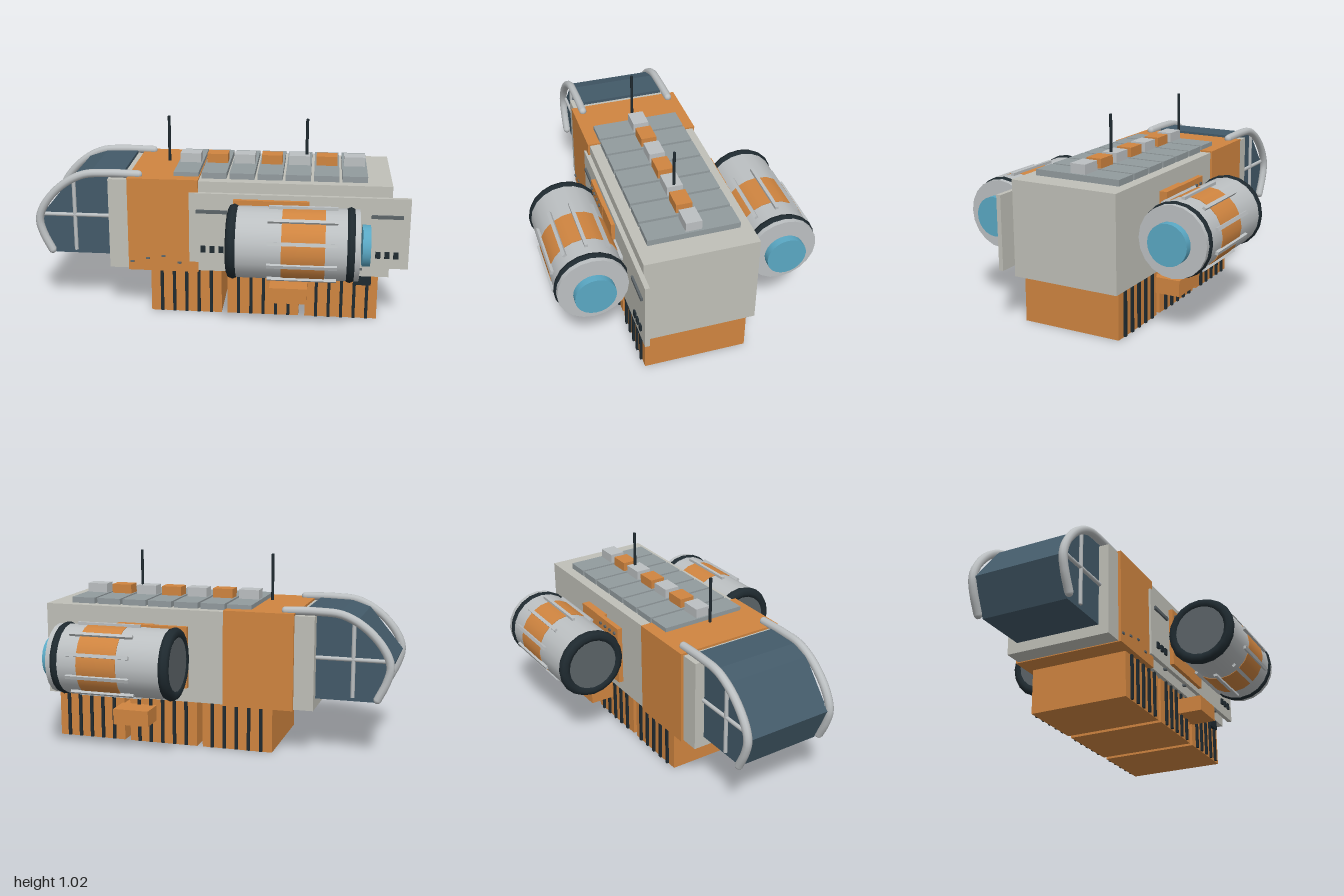
import * as THREE from 'three';

const mat = (color, extra = {}) => new THREE.MeshStandardMaterial({ color, ...extra });
const M = {
  hull: mat(0xc0c0b8), orange: mat(0xd08540), dark: mat(0x1f2a30), blue: mat(0x5aa8c4),
  glass: mat(0x435a69, { flatShading: true }), panel: mat(0x929b9e), metal: mat(0xbcc0c2), slot: mat(0x5c6468),
};

function add(parent, name, geometry, material, x = 0, y = 0, z = 0) {
  const mesh = new THREE.Mesh(geometry, material);
  mesh.name = name;
  mesh.position.set(x, y, z);
  parent.add(mesh);
  return mesh;
}

// Box given by its extents along each axis
function box(parent, name, material, [x0, x1], [y0, y1], [z0, z1]) {
  return add(parent, name, new THREE.BoxGeometry(x1 - x0, y1 - y0, z1 - z0), material,
    (x0 + x1) / 2, (y0 + y1) / 2, (z0 + z1) / 2);
}

// Cylinder lying along x
function barrel(parent, name, material, r, x0, x1, sides = 20) {
  const geometry = new THREE.CylinderGeometry(r, r, x1 - x0, sides).rotateZ(-Math.PI / 2);
  return add(parent, name, geometry, material, (x0 + x1) / 2);
}

function enginePod() {
  const pod = new THREE.Group();
  pod.name = 'enginePod';
  barrel(pod, 'podBody', M.metal, 0.182, 0.085, 0.73);
  barrel(pod, 'podBand', M.orange, 0.185, 0.345, 0.56);
  barrel(pod, 'intakeDisc', M.slot, 0.14, 0.075, 0.1);
  barrel(pod, 'exhaust', M.blue, 0.105, 0.745, 0.785, 24);
  for (const [x, tube] of [[0.097, 0.03], [0.686, 0.026]]) {
    const ring = new THREE.TorusGeometry(0.191 - tube, tube, 8, 20).rotateY(Math.PI / 2);
    add(pod, 'podRing', ring, M.dark, x);
  }
  // Ten rails spaced around the barrel
  for (let i = 0; i < 10; i++) {
    const a = (i + 0.5) * Math.PI / 5;
    const rail = add(pod, 'podRail', new THREE.BoxGeometry(0.345, 0.018, 0.018), M.metal,
      0.447, 0.187 * Math.sin(a), 0.187 * Math.cos(a));
    rail.rotation.x = -a;
  }
  return pod;
}

function cockpit() {
  const g = new THREE.Group();
  g.name = 'cockpit';
  const profile = [[-0.52, 0.305], [-0.9, 0.305], [-0.985, 0.5], [-0.8, 0.725], [-0.7, 0.757], [-0.52, 0.762]];
  const shape = new THREE.Shape(profile.map(([x, y]) => new THREE.Vector2(x, y)));
  const canopy = new THREE.ExtrudeGeometry(shape, { depth: 0.47, bevelEnabled: false });
  add(g, 'canopy', canopy, M.glass, 0, 0, -0.235);
  const path = [[-0.43, 0.765], [-0.6, 0.767], [-0.73, 0.755], [-0.85, 0.69], [-0.945, 0.585],
    [-0.977, 0.5], [-0.96, 0.42], [-0.915, 0.325]];
  for (const s of [1, -1]) {
    const curve = new THREE.CatmullRomCurve3(path.map(([x, y]) => new THREE.Vector3(x, y, 0.253 * s)));
    add(g, 'canopyRail', new THREE.TubeGeometry(curve, 32, 0.022, 10), M.metal);
    for (const [x, y] of [path[0], path[path.length - 1]]) {
      add(g, 'railEnd', new THREE.SphereGeometry(0.021, 10, 8), M.metal, x, y, 0.253 * s);
    }
    // Window cross bars
    const across = barrel(g, 'windowBar', M.metal, 0.011, -0.965, -0.59, 8);
    across.position.y = 0.525;
    across.position.z = 0.24 * s;
    add(g, 'windowPost', new THREE.CylinderGeometry(0.011, 0.011, 0.4, 8), M.metal, -0.785, 0.525, 0.24 * s);
  }
  return g;
}

export function createModel() {
  const model = new THREE.Group();
  model.name = 'dropShuttle';

  // Main body
  box(model, 'hull', M.hull, [-0.2, 0.9], [0.25, 0.748], [-0.294, 0.294]);
  box(model, 'orangeSection', M.orange, [-0.485, -0.108], [0.245, 0.757], [-0.305, 0.305]);
  box(model, 'collar', M.hull, [-0.59, -0.45], [0.25, 0.745], [-0.29, 0.29]);
  model.add(cockpit());

  // Roof panels with small housings
  for (let i = 0; i < 7; i++) {
    const x = -0.178 + i * 0.1475;
    box(model, 'roofPanel', M.panel, [x - 0.066, x + 0.066], [0.745, 0.78], [-0.238, 0.238]);
    box(model, 'roofHousing', i % 2 ? M.orange : M.metal, [x - 0.056, x + 0.056], [0.78, 0.83], [-0.042, 0.042]);
  }
  for (const x of [-0.3, 0.45]) {
    add(model, 'antenna', new THREE.CylinderGeometry(0.008, 0.008, 0.25, 8), M.dark, x, 0.9, 0);
  }

  // Cargo boxes below with dark ribs
  for (const x of [-0.37, 0.046, 0.463]) {
    box(model, 'cargoBox', M.orange, [x, x + 0.384], [0, 0.25], [-0.272, 0.272]);
    for (let i = 0; i < 5; i++) {
      const rx = x + 0.06 + i * 0.067;
      for (const s of [1, -1]) {
        box(model, 'cargoRib', M.dark, [rx - 0.008, rx + 0.008], [0.003, 0.25], s > 0 ? [0.265, 0.284] : [-0.284, -0.265]);
      }
    }
  }
  box(model, 'sideBracket', M.orange, [0.277, 0.475], [0.125, 0.21], [-0.408, 0.408]);
  box(model, 'vent', M.dark, [0.72, 0.81], [0.197, 0.25], [0.25, 0.29]);

  // Plate on the front side with slots and ports
  box(model, 'sidePlate', M.hull, [-0.155, 0.996], [0.307, 0.69], [0.293, 0.317]);
  for (const x of [-0.035, 0.878]) {
    box(model, 'plateSlot', M.slot, [x - 0.082, x + 0.082], [0.583, 0.601], [0.31, 0.328]);
  }
  for (const x of [-0.08, -0.032, 0.015, 0.837, 0.884, 0.93]) {
    box(model, 'platePort', M.dark, [x - 0.013, x + 0.013], [0.365, 0.4], [0.31, 0.327]);
  }
  for (const [x, y] of [[-0.465, 0.295], [-0.38, 0.315], [-0.295, 0.33], [-0.21, 0.295], [0.045, 0.295],
    [0.3, 0.295], [0.555, 0.295], [0.75, 0.295]]) {
    box(model, 'rivet', M.slot, [x - 0.01, x + 0.01], [y - 0.005, y + 0.005], [0.28, 0.312]);
  }

  // Engine pods and their mounts on both sides
  for (const s of [1, -1]) {
    const pod = enginePod();
    pod.position.set(0, 0.5, 0.5 * s);
    model.add(pod);
    const mount = new THREE.Group();
    mount.name = 'podMount';
    add(mount, 'mountPlate', new THREE.BoxGeometry(0.23, 0.33, 0.027), M.orange, 0.195, 0.5, 0.326 * s);
    add(mount, 'mountStrut', new THREE.BoxGeometry(0.2, 0.33, 0.05), M.orange, 0.375, 0.5, 0.312 * s);
    for (let i = 0; i < 4; i++) {
      const bolt = new THREE.CylinderGeometry(0.009, 0.009, 0.012, 8).rotateX(Math.PI / 2);
      add(mount, 'mountBolt', bolt, M.slot, 0.11 + i * 0.05, 0.63, 0.342 * s);
    }
    model.add(mount);
  }
  return model;
}
